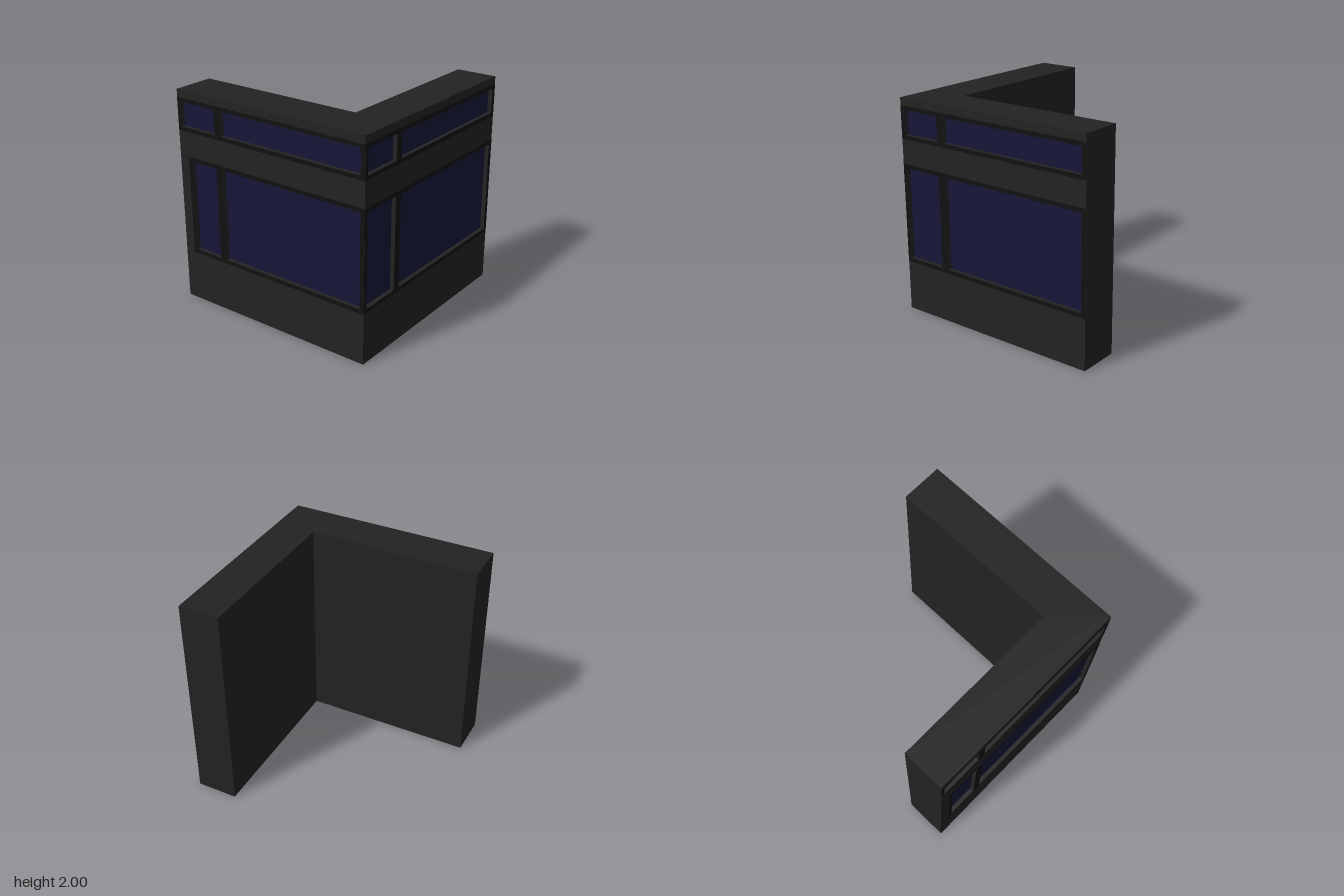
import * as THREE from 'three';

const wallMat = new THREE.MeshStandardMaterial({ color: 0x222222 });
const frameMat = new THREE.MeshStandardMaterial({ color: 0x111111 });
const glassMat = new THREE.MeshStandardMaterial({ color: 0x161638 });

const RECESS = 0.04; // depth of the glass behind the wall face
const LIFT = 0.0015; // keeps coplanar faces apart

function rect(Type, [u0, u1, v0, v1]) {
  const points = [[u0, v0], [u1, v0], [u1, v1], [u0, v1]].map(([u, v]) => new THREE.Vector2(u, v));
  return new Type(points);
}

function add(parent, name, geometry, material, z = 0) {
  const mesh = new THREE.Mesh(geometry, material);
  mesh.name = name;
  mesh.position.z = z;
  parent.add(mesh);
}

// A wall face in local (u, y) looking along +z, with recessed windows
function facade(name, uEnd, bands) {
  const group = new THREE.Group();
  group.name = name;
  const skin = rect(THREE.Shape, [-1, uEnd, 0, 2]);
  for (const { frame, panes } of bands) {
    const border = rect(THREE.Shape, frame);
    for (const pane of panes) {
      skin.holes.push(rect(THREE.Path, pane));
      border.holes.push(rect(THREE.Path, pane));
      add(group, 'windowPane', new THREE.ShapeGeometry(rect(THREE.Shape, pane)), glassMat, 1 - RECESS + LIFT);
    }
    add(group, 'windowFrame', new THREE.ShapeGeometry(border), frameMat, 1 + LIFT);
  }
  const geometry = new THREE.ExtrudeGeometry(skin, { depth: RECESS, bevelEnabled: false });
  add(group, 'wallFace', geometry, wallMat, 1 - RECESS);
  return group;
}

// One row of windows: a narrow pane, a mullion and a wide pane
function band(uStart, y0, y1) {
  const m = 0.037;
  return {
    frame: [uStart, 1, y0, y1],
    panes: [
      [uStart + m, -0.57, y0 + m, y1 - m],
      [-0.5, 0.96, y0 + m, y1 - m],
    ],
  };
}

export function createModel() {
  const model = new THREE.Group();
  model.name = 'cornerWall';

  // L-shaped core; plan drawn as (x, -z) and stood upright
  const r = 1 - RECESS;
  const plan = new THREE.Shape(
    [[-r, -r], [1, -r], [1, -0.615], [-0.6, -0.615], [-0.6, 1], [-r, 1]]
      .map(([x, y]) => new THREE.Vector2(x, y))
  );
  const core = new THREE.ExtrudeGeometry(plan, { depth: 2, bevelEnabled: false });
  core.rotateX(-Math.PI / 2);
  add(model, 'wallCore', core, wallMat);

  // Front windows
  model.add(facade('frontFacade', 1, [band(-1, 0.47, 1.4), band(-1, 1.63, 1.93)]));

  // Right-hand side windows, turned to face -x
  const side = facade('sideFacade', r, [band(-0.9, 0.47, 1.4), band(-1, 1.63, 1.93)]);
  side.rotation.y = -Math.PI / 2;
  model.add(side);

  return model;
}
